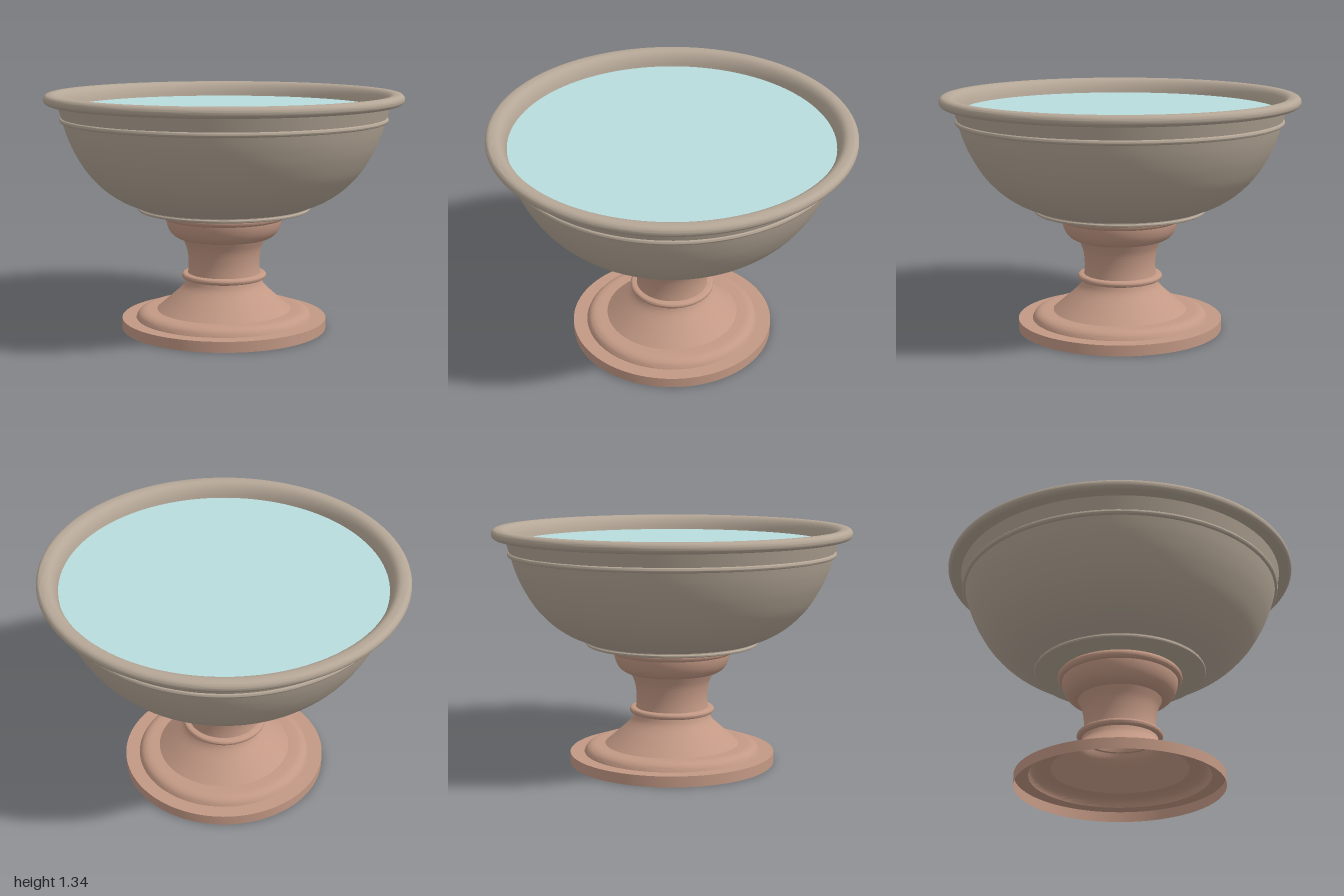
import * as THREE from 'three';
import { toCreasedNormals } from 'three/addons/utils/BufferGeometryUtils.js';

const SEGMENTS = 96;
const stone = new THREE.MeshStandardMaterial({ color: 0xb5a797, side: THREE.DoubleSide });
const clay = new THREE.MeshStandardMaterial({ color: 0xc39985, side: THREE.DoubleSide });
const waterBlue = new THREE.MeshStandardMaterial({ color: 0xb9dcdd });

const v = (x, y) => new THREE.Vector2(x, y);

// Turns a profile path (listed bottom to top on the outside) around the y axis
function turned(name, path, material) {
  const lathe = new THREE.LatheGeometry(path.getPoints(8), SEGMENTS);
  const mesh = new THREE.Mesh(toCreasedNormals(lathe, 0.6), material);
  mesh.name = name;
  return mesh;
}

// Half-round moulding with flat top and bottom, from radius inner to outer
function moulding(name, inner, outer, bottom, top, material) {
  const r = (top - bottom) / 2;
  const path = new THREE.Path();
  path.moveTo(inner, bottom);
  path.lineTo(outer - r, bottom);
  path.absarc(outer - r, bottom + r, r, -Math.PI / 2, Math.PI / 2, false);
  path.lineTo(inner, top);
  return turned(name, path, material);
}

function createPedestal() {
  const group = new THREE.Group();
  group.name = 'pedestal';

  // Hollow foot: plinth, rounded step, flare and stem
  const foot = new THREE.Path();
  foot.moveTo(0.58, 0);
  foot.lineTo(0.58, 0.06);
  foot.lineTo(0.5, 0.06);
  foot.bezierCurveTo(0.49, 0.09, 0.47, 0.105, 0.43, 0.105);
  foot.lineTo(0.38, 0.105);
  foot.splineThru([v(0.305, 0.17), v(0.235, 0.235), v(0.212, 0.28), v(0.202, 0.34),
    v(0.202, 0.4), v(0.212, 0.46), v(0.235, 0.515)]);
  // Cup-shaped capital under the bowl
  foot.bezierCurveTo(0.29, 0.52, 0.32, 0.56, 0.328, 0.625);
  foot.lineTo(0.328, 0.672);
  foot.lineTo(0, 0.672);
  group.add(turned('footAndStem', foot, clay));

  group.add(moulding('stemRing', 0.19, 0.24, 0.283, 0.316, clay));
  group.add(moulding('capitalRing', 0.3, 0.352, 0.627, 0.675, clay));
  return group;
}

function createBowl() {
  const group = new THREE.Group();
  group.name = 'bowl';

  // Outer wall, rolled rim and inner wall in one closed profile
  const wall = new THREE.Path();
  wall.moveTo(0, 0.68);
  wall.lineTo(0.48, 0.68);
  wall.lineTo(0.48, 0.7);
  wall.splineThru([v(0.585, 0.745), v(0.68, 0.81), v(0.765, 0.9), v(0.83, 1.005),
    v(0.872, 1.1), v(0.9, 1.19), v(0.925, 1.277)]);
  wall.lineTo(0.97, 1.277);
  wall.absarc(0.971, 1.306, 0.029, -Math.PI / 2, Math.PI / 2, false);
  wall.lineTo(0.95, 1.335);
  wall.bezierCurveTo(0.915, 1.333, 0.895, 1.29, 0.888, 1.25);
  wall.splineThru([v(0.86, 1.16), v(0.8, 1.02), v(0.7, 0.88), v(0.56, 0.775), v(0.4, 0.73)]);
  wall.lineTo(0, 0.72);
  group.add(turned('bowlWall', wall, stone));

  group.add(moulding('bowlBand', 0.88, 0.914, 1.177, 1.205, stone));
  group.add(moulding('bowlBaseRing', 0.44, 0.486, 0.677, 0.696, stone));
  return group;
}

export function createModel() {
  const model = new THREE.Group();
  model.name = 'fountainBowl';
  model.add(createPedestal(), createBowl());

  // Still water just below the rim
  const water = new THREE.Mesh(new THREE.CircleGeometry(0.888, SEGMENTS), waterBlue);
  water.name = 'water';
  water.rotation.x = -Math.PI / 2;
  water.position.y = 1.25;
  model.add(water);
  return model;
}
